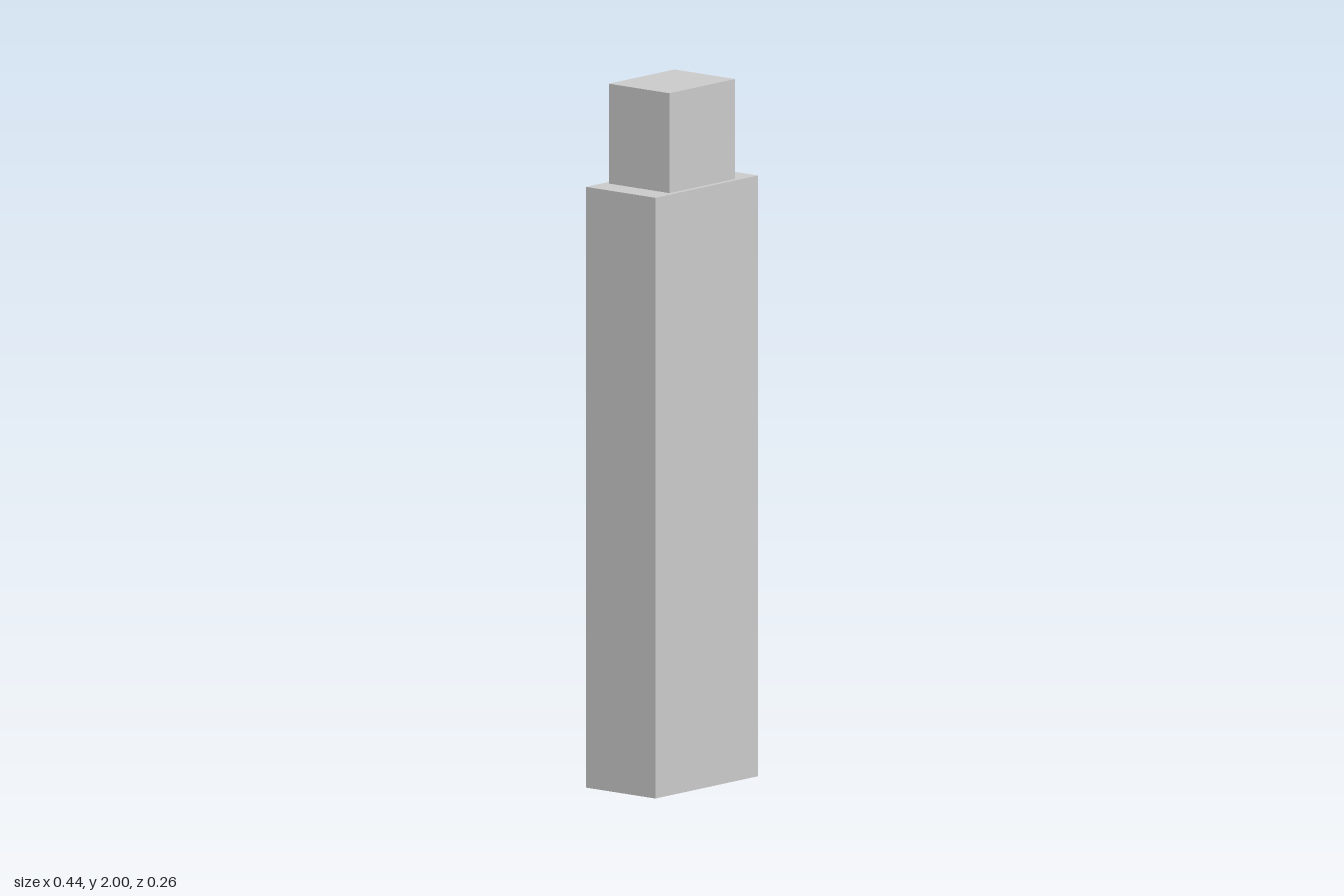
import * as THREE from 'three';

const material = new THREE.MeshStandardMaterial({ color: 0xcccccc, flatShading: true });

// Box standing on the given height
function block(name, width, depth, bottom, top) {
  const mesh = new THREE.Mesh(new THREE.BoxGeometry(width, top - bottom, depth), material);
  mesh.name = name;
  mesh.position.y = (bottom + top) / 2;
  return mesh;
}

export function createModel() {
  const group = new THREE.Group();
  group.name = 'steppedBlock';
  group.add(
    block('body', 0.444, 0.256, 0, 1.715), // tall main body
    block('tip', 0.284, 0.224, 1.715, 2) // narrower block on top
  );
  return group;
}
